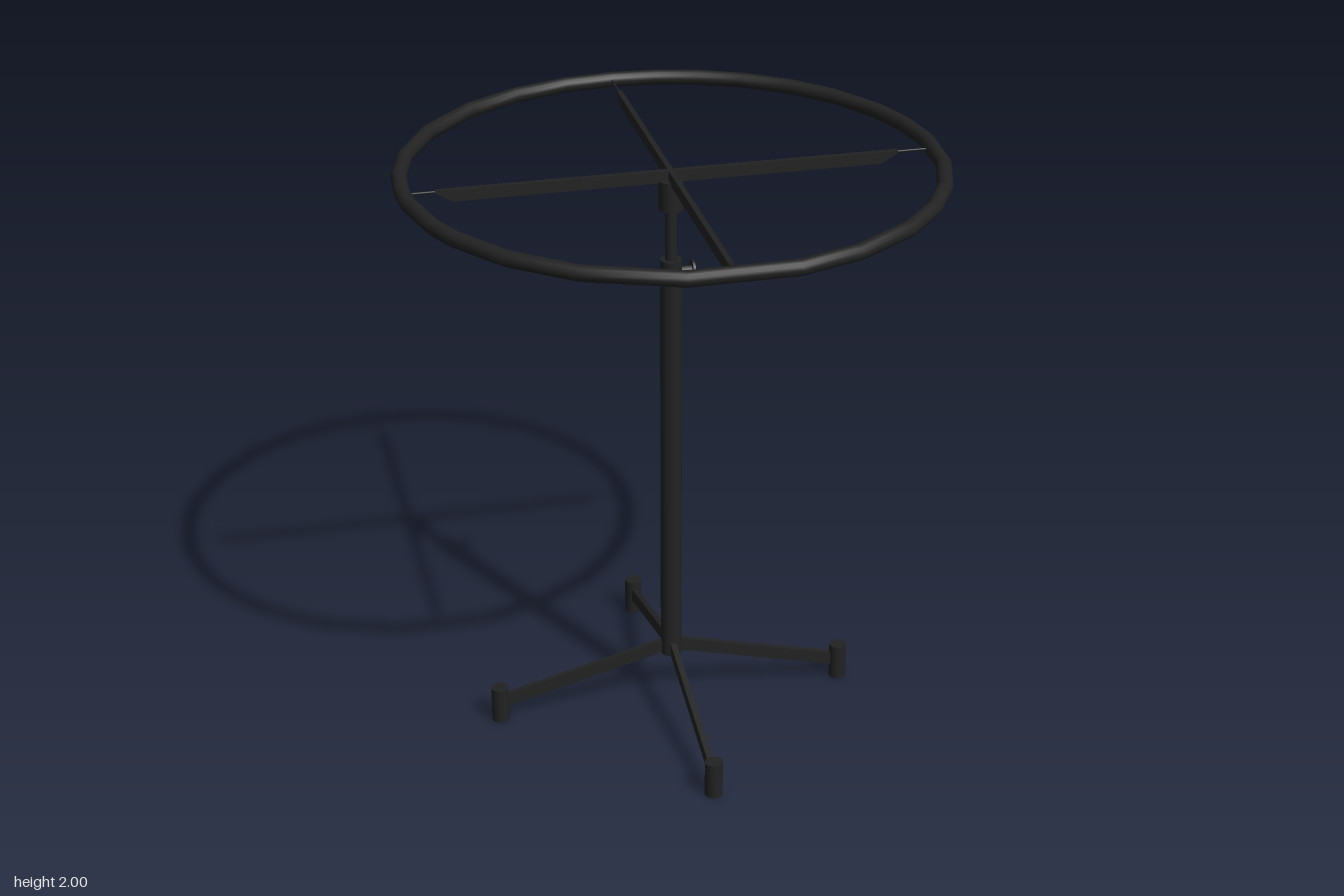
import * as THREE from 'three';

const material = new THREE.MeshStandardMaterial({ color: 0x222222 });
const CX = -0.013, CZ = 0.035; // axis of the stand

function add(parent, name, geometry, x = 0, y = 0, z = 0) {
  const mesh = new THREE.Mesh(geometry, material);
  mesh.name = name;
  mesh.position.set(x, y, z);
  parent.add(mesh);
  return mesh;
}

// Upright cylinder between two heights
function upright(parent, name, radius, y0, y1, x = 0, z = 0, sides = 24) {
  return add(parent, name, new THREE.CylinderGeometry(radius, radius, y1 - y0, sides), x, (y0 + y1) / 2, z);
}

// Flat bar cut from a side profile in the x-y plane, centred on z
function bar(points, width) {
  const shape = new THREE.Shape(points.map(([x, y]) => new THREE.Vector2(x, y)));
  return new THREE.ExtrudeGeometry(shape, { depth: width, bevelEnabled: false }).translate(0, 0, -width / 2);
}

// Hand-bent hoop: a torus whose sections sit at uneven angles (degrees)
function hoopGeometry(radius, tube) {
  const angles = [-3, 11, 24, 36, 48.3, 64, 77.9, 100.5, 121.5, 137.6, 152, 159.5, 173, 180, 189.4,
    200, 215, 231, 245, 258, 269.4, 279.5, 289.3, 300, 312, 322.7, 335.5, 346, 357];
  const n = angles.length - 1, sides = 14;
  const g = new THREE.TorusGeometry(radius, tube, sides, n);
  const p = g.attributes.position, normal = g.attributes.normal;
  for (let j = 0; j <= sides; j++) {
    const v = (j / sides) * Math.PI * 2;
    for (let i = 0; i <= n; i++) {
      const u = -THREE.MathUtils.degToRad(angles[n - i]), k = j * (n + 1) + i;
      const r = radius + tube * Math.cos(v);
      p.setXYZ(k, r * Math.cos(u), r * Math.sin(u), tube * Math.sin(v));
      normal.setXYZ(k, Math.cos(v) * Math.cos(u), Math.cos(v) * Math.sin(u), Math.sin(v));
    }
  }
  return g.rotateX(-Math.PI / 2);
}

export function createModel() {
  const model = new THREE.Group();
  model.name = 'hoopStand';

  // Hoop
  add(model, 'hoop', hoopGeometry(0.87, 0.026), 0, 1.974, 0);

  // Telescoping post
  const stand = new THREE.Group();
  stand.name = 'stand';
  stand.position.set(CX, 0, CZ);
  model.add(stand);
  upright(stand, 'post', 0.036, 0.186, 1.676);
  upright(stand, 'innerRod', 0.019, 1.6, 1.86);
  upright(stand, 'topCollar', 0.04, 1.85, 1.95);

  // Clamp screw with a flat round grip
  const screw = new THREE.Group();
  screw.name = 'clampScrew';
  screw.position.set(0.03, 1.633, 0);
  screw.rotation.z = -Math.PI / 2;
  stand.add(screw);
  upright(screw, 'screwShaft', 0.014, 0, 0.042, 0, 0, 12);
  upright(screw, 'screwGrip', 0.033, 0.038, 0.046, 0, 0, 20);

  // Four spokes with undercut ends and thin wires reaching the hoop
  const spokes = new THREE.Group();
  spokes.name = 'spokes';
  spokes.position.set(CX, 0, 0.028);
  model.add(spokes);
  const reach = [0.88, 0.895, 0.86, 0.84]; // +x, -z, -x, +z
  for (let i = 0; i < 4; i++) {
    const arm = new THREE.Group();
    arm.name = 'spokeArm';
    arm.rotation.y = (i * Math.PI) / 2;
    spokes.add(arm);
    add(arm, 'spoke', bar([[0, 1.942], [0.7, 1.942], [0.755, 1.972], [0.755, 1.982], [0, 1.982]], 0.018));
    const wire = new THREE.CylinderGeometry(0.004, 0.004, reach[i] - 0.72, 8).rotateZ(Math.PI / 2);
    add(arm, 'spokeWire', wire, (reach[i] + 0.72) / 2, 1.976, 0);
  }

  // Four sloping legs with round feet
  for (let i = 0; i < 4; i++) {
    const leg = new THREE.Group();
    leg.name = 'leg';
    leg.rotation.y = (i * Math.PI) / 2;
    stand.add(leg);
    add(leg, 'legBar', bar([[0, 0.2], [0.6, 0.048], [0.6, 0.094], [0, 0.246]], 0.02));
    upright(leg, 'foot', 0.03, 0, 0.127, 0.609, 0, 20);
  }
  return model;
}
